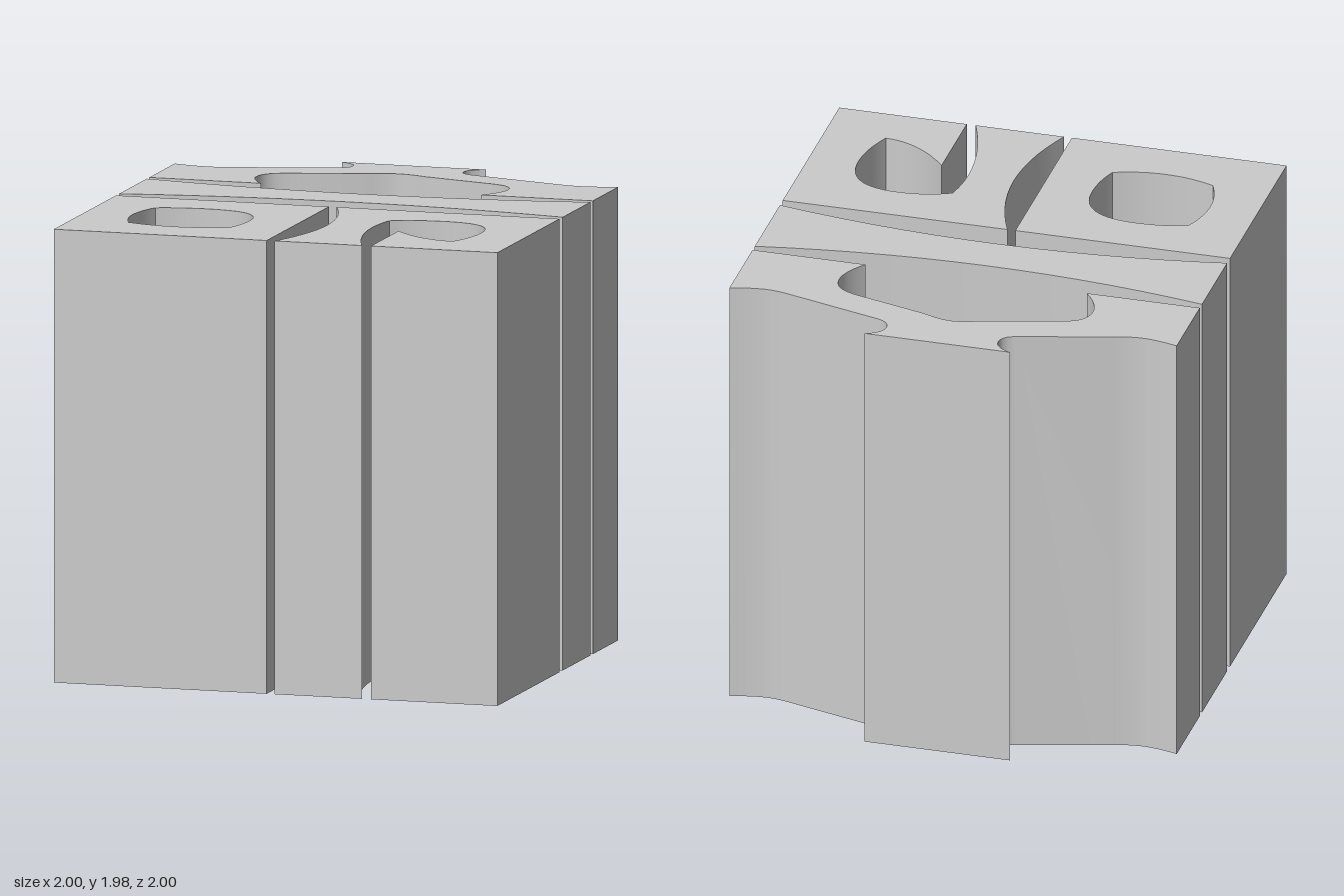
import * as THREE from 'three';
import { toCreasedNormals } from 'three/addons/utils/BufferGeometryUtils.js';

const HEIGHT = 1.98;
const STEPS = 14;

// Draws a plan outline in (x, z): 2 numbers = line, 4 = quadratic, 6 = cubic
function trace(path, start, steps) {
  path.moveTo(...start);
  for (const s of steps) {
    if (s.length === 2) path.lineTo(...s);
    else if (s.length === 4) path.quadraticCurveTo(...s);
    else path.bezierCurveTo(...s);
  }
  return path;
}

// Extrudes a plan outline upwards from the ground
function prism(name, shape) {
  const geometry = new THREE.ExtrudeGeometry(shape, { depth: HEIGHT, bevelEnabled: false, curveSegments: STEPS });
  geometry.rotateX(Math.PI / 2).translate(0, HEIGHT, 0);
  const material = new THREE.MeshStandardMaterial({ color: 0xcccccc });
  const mesh = new THREE.Mesh(toCreasedNormals(geometry, 0.6), material);
  mesh.name = name;
  return mesh;
}

export function createModel() {
  const group = new THREE.Group();
  group.name = 'extrudedBlocks';

  // Front block with a closed, rounded shaft
  const closed = trace(new THREE.Shape(), [-1, 0.1], [[-0.04, 0.1], [-0.04, 1], [-1, 1], [-1, 0.1]]);
  closed.holes.push(trace(new THREE.Path(), [-0.745, 0.35], [
    [-0.65, 0.31, -0.52, 0.31],
    [-0.34, 0.31, -0.26, 0.39, -0.26, 0.54],
    [-0.26, 0.64, -0.295, 0.735],
    [-0.52, 0.825, -0.745, 0.735],
    [-0.83, 0.54, -0.745, 0.35],
  ]));
  group.add(prism('closedBlock', closed));

  // Front block with a concave inner side and a hook-shaped open shaft
  group.add(prism('hookBlock', trace(new THREE.Shape(), [-0.005, 0.1], [
    [1, 0.1], [1, 1], [0.43, 1], [0.43, 0.6],
    [0.575, 0.775, 0.73, 0.78],
    [0.785, 0.66, 0.785, 0.54],
    [0.785, 0.39, 0.71, 0.31, 0.55, 0.31],
    [0.42, 0.31, 0.315, 0.365],
    [0.295, 0.45, 0.295, 0.54],
    [0.295, 0.76, 0.39, 1],
    [-0.005, 1],
    [0.19, 0.55, -0.005, 0.1],
  ])));

  // Middle bar, concave on its back and bowed on its front
  group.add(prism('middleBar', trace(new THREE.Shape(), [-1, -0.345], [
    [0, -0.155, 1, -0.345],
    [1, 0.055],
    [0, -0.135, -1, 0.055],
    [-1, -0.345],
  ])));

  // Back arch: one half is drawn, then mirrored across x = 0
  const half = trace(new THREE.Path(), [0, -1], [
    [0.325, -1],
    [0.25, -0.97, 0.25, -0.92],
    [0.25, -0.87, 0.31, -0.853],
    [0.71, -0.743],
    [0.8, -0.715, 0.86, -0.72],
    [0.92, -0.725, 1, -0.748],
    [1, -0.38], [0.495, -0.38],
    [0.567, -0.47, 0.567, -0.54],
    [0.567, -0.635, 0.49, -0.655, 0.4, -0.677],
    [0.13, -0.75],
    [0.05, -0.785, 0, -0.785],
  ]).getPoints(STEPS);
  const mirrored = half.slice(1, -1).reverse().map((p) => new THREE.Vector2(-p.x, p.y));
  group.add(prism('backArch', new THREE.Shape([...half, ...mirrored])));

  return group;
}
